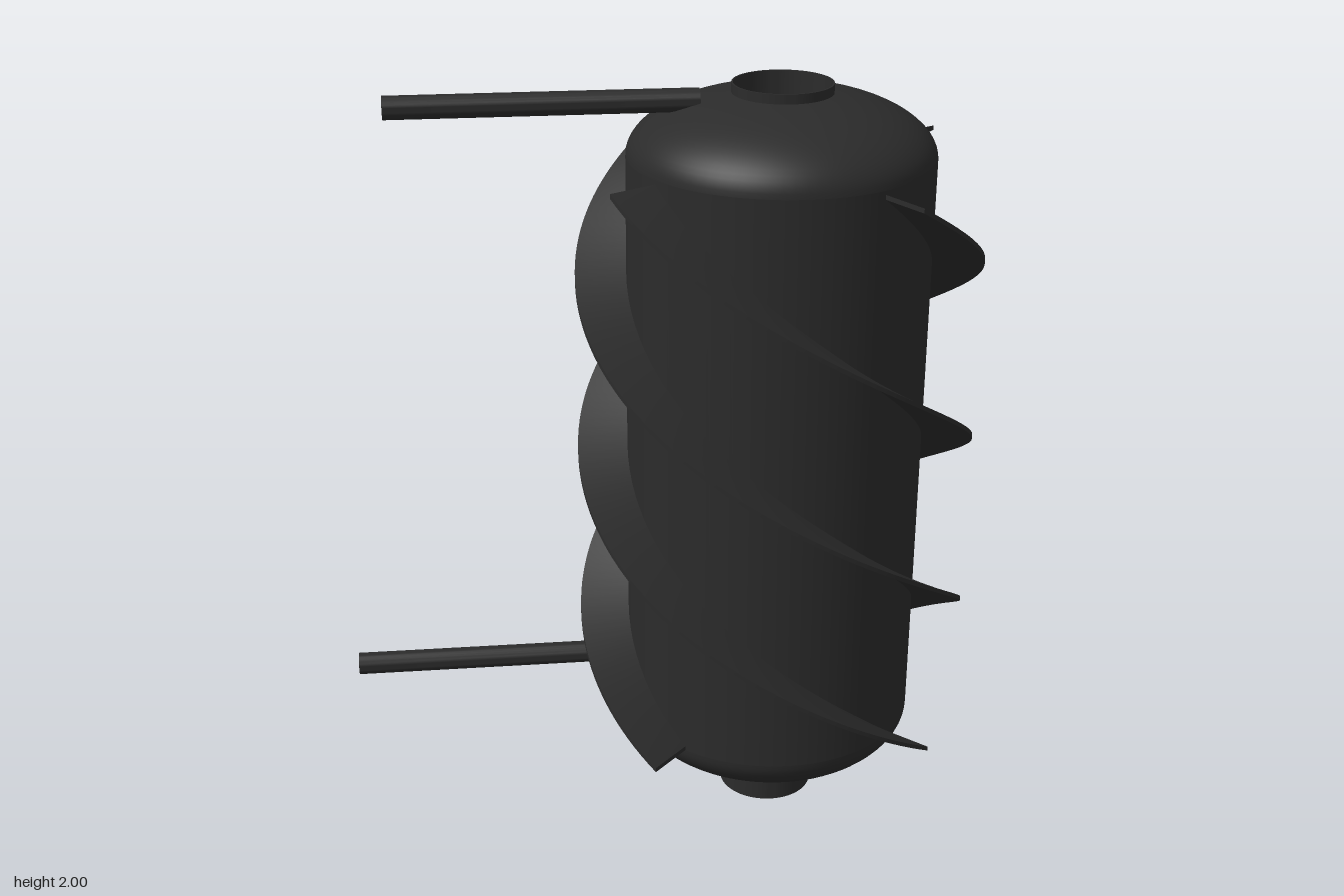
import * as THREE from 'three';
import { toCreasedNormals } from 'three/addons/utils/BufferGeometryUtils.js';

const AXIS_X = 0.3;          // vertical axis of the vessel
const R = 0.385;             // drum radius
const FIN_R = 0.515;         // outer fin radius
const BORE = 0.122;          // inner radius of the centre pipe
const Y0 = 0.28, Y1 = 1.82;  // ends of the straight wall
const FIN_TOP = 1.81, PITCH = 1.92;

export function createModel() {
  const model = new THREE.Group();
  model.name = 'finnedVessel';
  const darkMetal = new THREE.MeshStandardMaterial({ color: 0x2b2b2b });
  darkMetal.name = 'darkMetal';

  const add = (name, geometry, x, y = 0) => {
    const mesh = new THREE.Mesh(geometry, darkMetal);
    mesh.name = name;
    mesh.position.set(x, y, 0);
    model.add(mesh);
    return mesh;
  };
  const lathe = (pts) => toCreasedNormals(
    new THREE.LatheGeometry(pts.map(([r, y]) => new THREE.Vector2(r, y)), 80), 0.6);

  // Elliptical end cap, profile listed from bottom to top
  const dome = (y, height) => {
    const pts = [];
    const end = Math.acos(0.125 / R);
    for (let i = 0; i <= 16; i++) {
      const a = end * i / 16;
      pts.push([R * Math.cos(a), y + height * Math.sin(a)]);
    }
    return lathe(height < 0 ? pts.reverse() : pts);
  };

  // Drum, end caps and hollow centre pipe
  add('drumWall', lathe([[R, Y0], [R, Y1]]), AXIS_X);
  add('topDome', dome(Y1, 0.165), AXIS_X);
  add('bottomDome', dome(Y0, -0.17), AXIS_X);
  add('centrePipe', lathe([[0.126, 0], [0.126, 2], [BORE, 2], [BORE, 0], [0.126, 0]]), AXIS_X);

  // Helical fin: a bar bent so x is radius, y thickness and z the angle
  const finGeometry = (startAngle) => {
    const g = new THREE.BoxGeometry(1, 0.012, 1, 1, 1, 104);
    const p = g.attributes.position;
    for (let i = 0; i < p.count; i++) {
      const t = p.getZ(i) + 0.5;
      const r = p.getX(i) < 0 ? R - 0.005 : FIN_R;
      const y = Y0 + t * (FIN_TOP - Y0);
      const a = startAngle - (FIN_TOP - y) / PITCH * Math.PI * 2;
      p.setXYZ(i, r * Math.cos(a), y + p.getY(i) - 0.006 * (2 * t - 1), r * Math.sin(a));
    }
    return toCreasedNormals(g, 0.6);
  };
  for (let k = 0; k < 4; k++) {
    add('helicalFin' + (k + 1), finGeometry(Math.PI * (5 / 6 + k / 2)), AXIS_X);
  }

  // Horizontal connection rods on the right-hand side
  const rod = (name, x0, x1, y) => {
    const g = toCreasedNormals(new THREE.CylinderGeometry(0.029, 0.029, x1 - x0, 28), 0.6);
    add(name, g, (x0 + x1) / 2, y).rotation.z = Math.PI / 2;
  };
  rod('upperRod', -0.67, 0.095, 1.962);
  rod('lowerRod', -0.82, -0.055, 0.435);

  return model;
}
